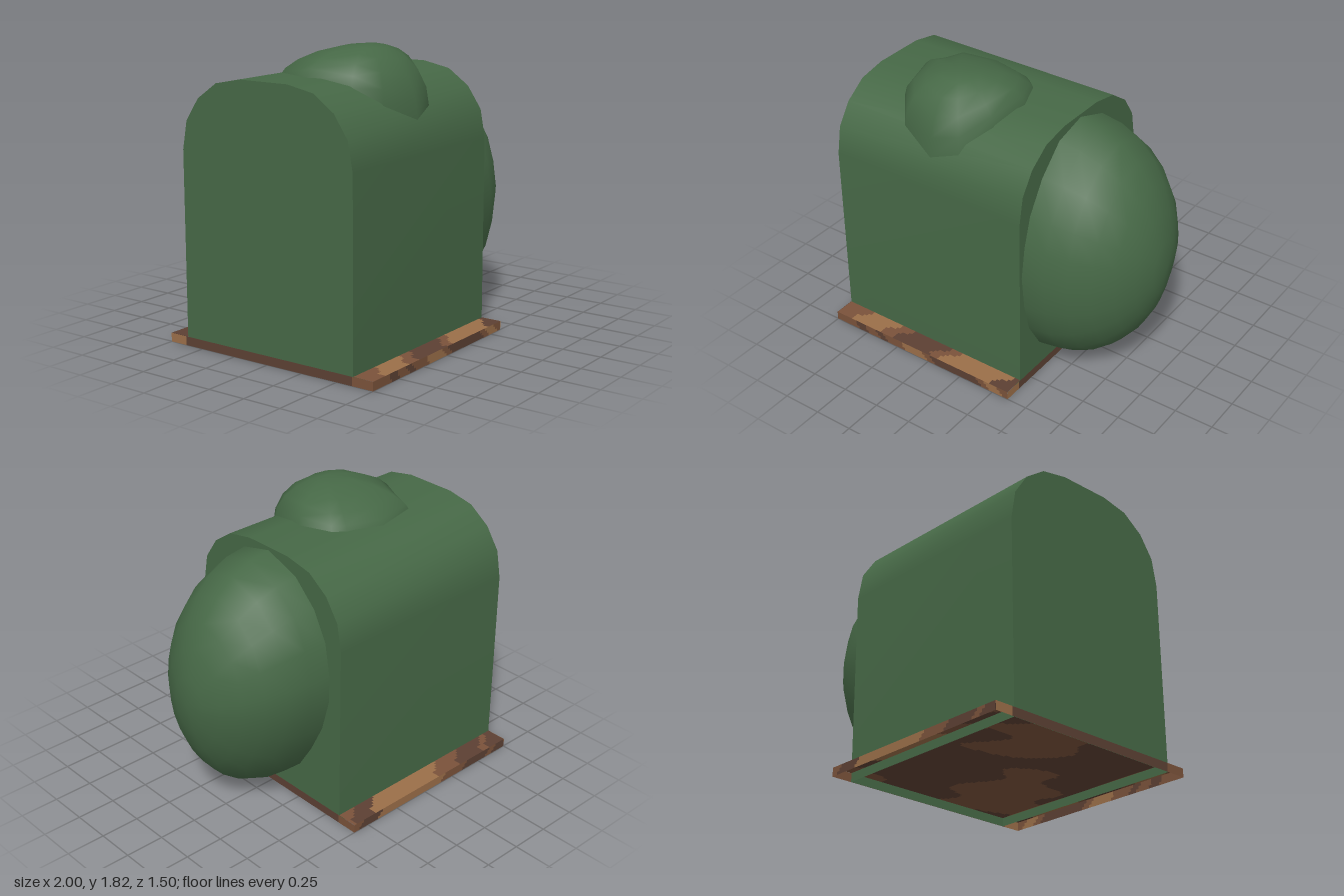
import * as THREE from 'three';

const X0 = -1, X1 = 0.364, ZW = 0.75, BASE = 0.055;
const side = THREE.DoubleSide;
const paint = (name, color) => {
  const m = new THREE.MeshStandardMaterial({ color, side });
  m.name = name;
  return m;
};

export function createModel() {
  const green = paint('canvas green', 0x466846);
  const browns = [paint('dark earth', 0x5c4033), paint('mid earth', 0x7a523a), paint('light earth', 0x9a6e48)];
  const group = new THREE.Group();
  const add = (name, geo, mat, parent = group) => {
    const m = new THREE.Mesh(geo, mat);
    m.name = name;
    parent.add(m);
    return m;
  };

  // Arched body: half profile (z, y), mirrored
  const half = [[0.615, 0], [0.615, 1.2], [0.583, 1.375], [0.49, 1.512], [0.35, 1.61], [0.17, 1.645]];
  const arch = [...half, ...half.map(([z, y]) => [-z, y]).reverse()];
  const body = new THREE.Group();
  body.name = 'body';
  group.add(body);
  const shell = new THREE.PlaneGeometry(1, 1, 1, arch.length - 1);
  const sp = shell.attributes.position;
  for (let i = 0; i < sp.count; i++) {
    const [z, y] = arch[arch.length - 1 - Math.floor(i / 2)];
    sp.setXYZ(i, i % 2 ? X1 : X0, y, z);
  }
  shell.computeVertexNormals();
  add('archedShell', shell, green, body);
  const endShape = new THREE.Shape(arch.map(([z, y]) => new THREE.Vector2(z, y)));
  for (const [name, x, turn] of [['leftEnd', X1, 1], ['rightEnd', X0, -1]]) {
    const end = new THREE.ShapeGeometry(endShape).rotateY(turn * Math.PI / 2).translate(x, 0, 0);
    add(name, end, green, body);
  }

  // Dome: rings shrink from an outline to one apex; place(point, t) gives xyz
  function dome(outline, rings, place) {
    const n = outline.length, pos = [], idx = [];
    for (let i = 0; i < rings; i++) {
      for (const p of outline) pos.push(...place(p, (i / rings) * Math.PI / 2));
    }
    pos.push(...place(outline[0], Math.PI / 2));
    for (let i = 0; i < rings; i++) {
      for (let j = 0; j < n; j++) {
        const a = i * n + j, b = i * n + (j + 1) % n;
        if (i === rings - 1) idx.push(a, b, rings * n);
        else idx.push(a, b, b + n, a, b + n, a + n);
      }
    }
    const g = new THREE.BufferGeometry();
    g.setAttribute('position', new THREE.Float32BufferAttribute(pos, 3));
    g.setIndex(idx);
    g.computeVertexNormals();
    return g;
  }
  const mix = THREE.MathUtils.lerp;

  // Large egg-shaped bulge on the end, outline (z, y)
  const egg = [
    [0, 1.625], [0.22, 1.57], [0.39, 1.405], [0.51, 1.21], [0.566, 1.02], [0.595, 0.815], [0.57, 0.59],
    [0.52, 0.4], [0.41, 0.22], [0.26, 0.1], [0.115, 0.053], [0, 0.06], [-0.115, 0.125], [-0.26, 0.254],
    [-0.365, 0.42], [-0.46, 0.61], [-0.52, 0.83], [-0.52, 1.0], [-0.485, 1.21], [-0.39, 1.39], [-0.235, 1.54],
  ];
  add('endBulge', dome(egg, 7, ([z, y], t) => [
    X1 + (1 - X1) * Math.sin(t), mix(0.82, y, Math.cos(t)), mix(0.01, z, Math.cos(t)),
  ]), green);

  // Small bulge on the roof, outline (x, z), its foot following the arch
  const roofY = (z) => {
    const d = Math.abs(z);
    for (let i = half.length - 1; i > 1; i--) {
      const [z1, y1] = half[i], [z0, y0] = half[i - 1];
      if (d <= z1) return y1;
      if (d <= z0) return mix(y1, y0, (d - z1) / (z0 - z1));
    }
    return 1.2;
  };
  const bump = [
    [-0.72, 0.09], [-0.66, 0.36], [-0.55, 0.5], [-0.31, 0.57], [-0.13, 0.53], [0, 0.36],
    [0.04, 0.1], [-0.04, -0.1], [-0.11, -0.16], [-0.35, -0.23], [-0.62, -0.18], [-0.68, -0.03],
  ];
  add('roofBulge', dome(bump, 5, ([x, z], t) => [
    mix(-0.33, x, Math.cos(t)),
    mix(roofY(z) - 0.005, 1.817, Math.sin(t) ** (z < 0 ? 1.4 : 1)),
    mix(0.25, z, Math.cos(t)),
  ]), green);

  // Base: a shallow tray open below, each panel split into blotches of three browns
  function blotched(name, w, h, cols, rows, place, tone) {
    const g = new THREE.PlaneGeometry(w, h, cols, rows);
    const p = g.attributes.position, src = g.index.array, buckets = [[], [], []];
    for (let k = 0; k < src.length; k += 6) {
      const a = src[k], d = src[k + 4];
      const cx = (p.getX(a) + p.getX(d)) / 2, cy = (p.getY(a) + p.getY(d)) / 2;
      buckets[tone(cx, cy)].push(...src.slice(k, k + 6));
    }
    g.setIndex(buckets.flat());
    let start = 0;
    buckets.forEach((b, i) => {
      g.addGroup(start, b.length, i);
      start += b.length;
    });
    place(g);
    add(name, g, browns, base);
  }
  const base = new THREE.Group();
  base.name = 'base';
  group.add(base);
  // bands: [upper limit, tone] along a panel
  const band = (bands, v) => (bands.find(([limit]) => v < limit) || bands[bands.length - 1])[1];
  const backTop = [[-0.9, 0], [-0.84, 1], [-0.62, 0], [-0.42, 1], [0.14, 2], [0.3, 0], [1, 1]];
  const frontTop = [[-0.84, 1], [-0.6, 2], [-0.5, 1], [-0.2, 0], [-0.12, 1], [0.28, 2], [1, 0]];
  const frontEdge = [[-0.83, 1], [-0.75, 0], [-0.66, 1], [-0.6, 0], [-0.45, 1], [-0.27, 2], [-0.22, 1], [0.14, 0], [0.2, 1], [0.3, 2], [1, 1]];
  const leftEdge = [[-0.615, 1], [0.3, 0], [0.31, 1], [0.63, 0], [1, 2]];
  const cx = (X0 + X1) / 2, len = X1 - X0;
  blotched('baseTop', len, 2 * ZW, 68, 75, (g) => g.rotateX(-Math.PI / 2).translate(cx, BASE, 0), (px, py) => {
    const x = px + cx, z = -py, wave = x + 0.05 * Math.sin(z * 28);
    if (z > 0.61) return band(frontTop, wave);
    if (z < -0.61) return band(backTop, wave);
    const n = Math.sin(5 * x + 2 * Math.sin(4 * z)) + Math.sin(6 * z - 3 * x) + 0.6 * Math.sin(17 * x + 9 * z);
    return n > 0.35 ? 1 : 0;
  });
  blotched('baseFrontEdge', len, BASE, 68, 3, (g) => g.translate(cx, BASE / 2, ZW),
    (px, py) => band(frontEdge, px + cx + py));
  blotched('baseBackEdge', len, BASE, 68, 3, (g) => g.rotateY(Math.PI).translate(cx, BASE / 2, -ZW),
    (px, py) => band(backTop, cx - px + py));
  blotched('baseLeftEdge', 2 * ZW, BASE, 75, 1, (g) => g.rotateY(Math.PI / 2).translate(X1 + 0.002, BASE / 2, 0),
    (px) => band(leftEdge, -px));
  blotched('baseRightEdge', 2 * ZW, BASE, 75, 1, (g) => g.rotateY(-Math.PI / 2).translate(X0 - 0.002, BASE / 2, 0),
    (px) => band(leftEdge, -px));
  return group;
}
